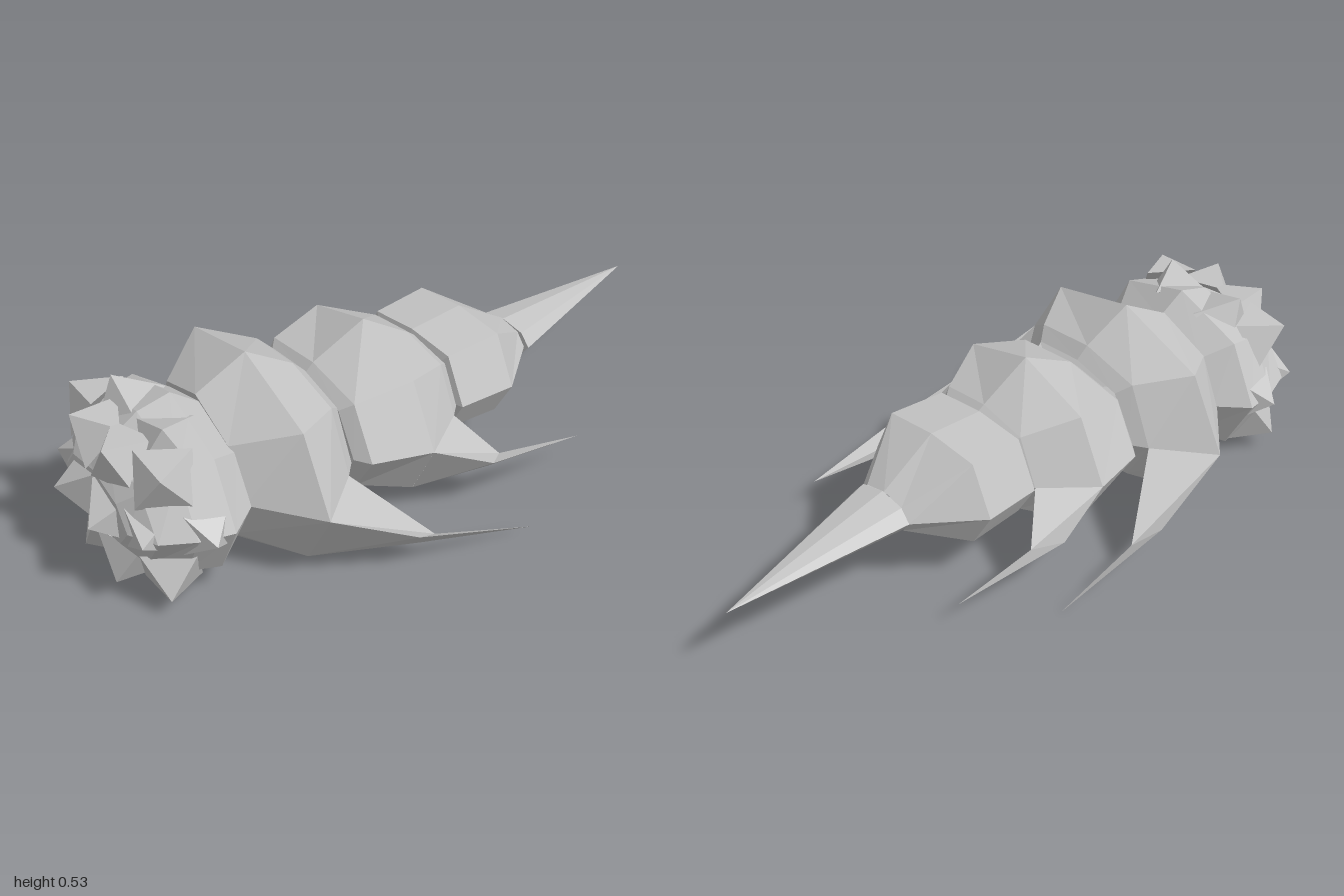
import * as THREE from 'three';

const grey = new THREE.MeshStandardMaterial({ color: 0xc4c4c4, flatShading: true, side: THREE.DoubleSide });
grey.name = 'shell grey';

// Skin a row of equal-sized cross-sections, ordered front to back
function loft(sections, capFront, capBack) {
  const pos = [];
  const tri = (...pts) => pts.forEach((p) => pos.push(...p));
  const n = sections[0].length;
  const open = n === 9; // arches are open underneath
  for (let i = 0; i < sections.length; i++) {
    const a = sections[i], b = sections[i + 1];
    for (let k = 0; k < (open ? n - 1 : n); k++) {
      const m = (k + 1) % n;
      if (b) {
        tri(a[k], b[k], b[m]);
        tri(a[k], b[m], a[m]);
      }
      if (i === 0 && capFront) tri(capFront, a[k], a[m]);
      if (!b && capBack) tri(capBack, a[m], a[k]);
    }
  }
  const geo = new THREE.BufferGeometry();
  geo.setAttribute('position', new THREE.Float32BufferAttribute(pos, 3));
  geo.computeVertexNormals();
  return geo;
}

// Eight-sided oval section
function ring(z, rx, ry, shoulder = Math.SQRT1_2, belly = -ry) {
  return Array.from({ length: 8 }, (_, k) => {
    const a = (k * Math.PI) / 4;
    const y = k === 6 ? belly : k === 1 || k === 3 ? ry * shoulder : ry * Math.sin(a);
    return [rx * Math.cos(a), y, z];
  });
}

// Oval section running from belly to belly; without a belly it ends at the flanks
function arch(z, rx, ry, shoulder, belly) {
  const r = ring(z, rx, ry, shoulder, belly);
  const [start, end] = belly === undefined ? [r[7], r[5]] : [r[6], r[6]];
  return [start, r[7], ...r.slice(0, 6), end];
}

function add(parent, name, geo) {
  const mesh = new THREE.Mesh(geo, grey);
  mesh.name = name;
  parent.add(mesh);
  return mesh;
}

function part(parent, name, x, z, yawDegrees) {
  const g = new THREE.Group();
  g.name = name;
  g.position.set(x, 0.245, z);
  g.rotation.y = -THREE.MathUtils.degToRad(yawDegrees);
  parent.add(g);
  return g;
}

// Swept-back side spines, mirrored
function spines(parent, root, mid, tip) {
  for (const side of [1, -1]) {
    const mesh = add(parent, side > 0 ? 'leftSpine' : 'rightSpine', loft([root, mid], null, tip));
    mesh.scale.x = side;
  }
}

export function createModel() {
  const model = new THREE.Group();
  model.name = 'armouredLarva';

  // Head: squat faceted dome
  const head = part(model, 'head', -0.115, 0.745, 9);
  add(head, 'headDome', loft([
    ring(0.165, 0.18, 0.09),
    ring(0.12, 0.26, 0.16),
    ring(0.03, 0.305, 0.22),
    ring(-0.065, 0.325, 0.243),
    ring(-0.15, 0.25, 0.18),
  ], [0, 0, 0.17], [0, 0, -0.17]));

  // Broad head spikes with square bases: each tip is mirrored sideways and vertically
  const tips = [
    [0.105, 0, 0.237], [0.255, 0, 0.16], [0.35, 0, 0],
    [0.095, 0.21, 0.175], [0.265, 0.19, 0.1], [0.147, 0.25, 0.03],
  ];
  const spikeGeo = new THREE.ConeGeometry(0.105, 0.1, 4).rotateY(Math.PI / 4).rotateX(Math.PI / 2);
  const up = new THREE.Vector3(0, 1, 0);
  const origin = new THREE.Vector3();
  for (const [x, y, z] of tips) {
    for (const sx of [1, -1]) {
      for (const sy of y ? [1, -1] : [1]) {
        const tip = new THREE.Vector3(x * sx, y * sy, z);
        const dir = tip.clone().setZ(z + 0.05).normalize();
        const spike = add(head, 'headSpike', spikeGeo);
        spike.position.copy(tip).addScaledVector(dir, -0.05);
        spike.quaternion.setFromRotationMatrix(new THREE.Matrix4().lookAt(dir, origin, up));
      }
    }
  }

  // Front body plate, hollow underneath, with the largest spines
  const front = part(model, 'frontSegment', -0.08, 0.455, 10);
  add(front, 'frontShell', loft([
    arch(0.15, 0.25, 0.2, undefined, -0.238),
    arch(0, 0.427, 0.28),
    arch(-0.14, 0.285, 0.195, 0.85),
    arch(-0.175, 0.24, 0.16, 0.85),
  ], [0, 0, 0.1]));
  spines(front,
    [[0.427, 0, 0], [0.285, 0, -0.14], [0.302, -0.198, 0]],
    [[0.47, -0.125, -0.242], [0.432, -0.17, -0.315], [0.41, -0.2, -0.28]],
    [0.478, -0.237, -0.6]);

  // Middle body plate, hollow underneath
  const middle = part(model, 'middleSegment', -0.03, 0.087, 7.7);
  add(middle, 'middleShell', loft([
    arch(0.195, 0.24, 0.14, 0.85, -0.14),
    arch(0.165, 0.285, 0.17, 0.85, -0.17),
    arch(0, 0.335, 0.25),
    arch(-0.147, 0.225, 0.155, 0.85),
    arch(-0.18, 0.19, 0.13, 0.85),
  ], [0, 0, 0.15]));
  spines(middle,
    [[0.335, 0, 0], [0.225, 0, -0.147], [0.237, -0.177, 0]],
    [[0.378, -0.08, -0.17], [0.318, -0.11, -0.237], [0.315, -0.14, -0.2]],
    [0.341, -0.145, -0.502]);

  // Rear body plate, hollow underneath, tapering to the tail
  const rear = part(model, 'rearSegment', -0.01, -0.26, 3);
  add(rear, 'rearShell', loft([
    arch(0.19, 0.17, 0.11, 0.9, -0.09),
    arch(0.175, 0.22, 0.15, 0.9, -0.11),
    arch(0, 0.232, 0.16, 0.9),
    arch(-0.17, 0.1, 0.053),
  ], [0, 0, 0.15]));

  // Long tail spike
  const tail = part(model, 'tail', 0.005, -0.43, 0);
  add(tail, 'tailSpike', loft([ring(0, 0.107, 0.052)], [0, 0, 0], [-0.035, 0, -0.56]));

  return model;
}
